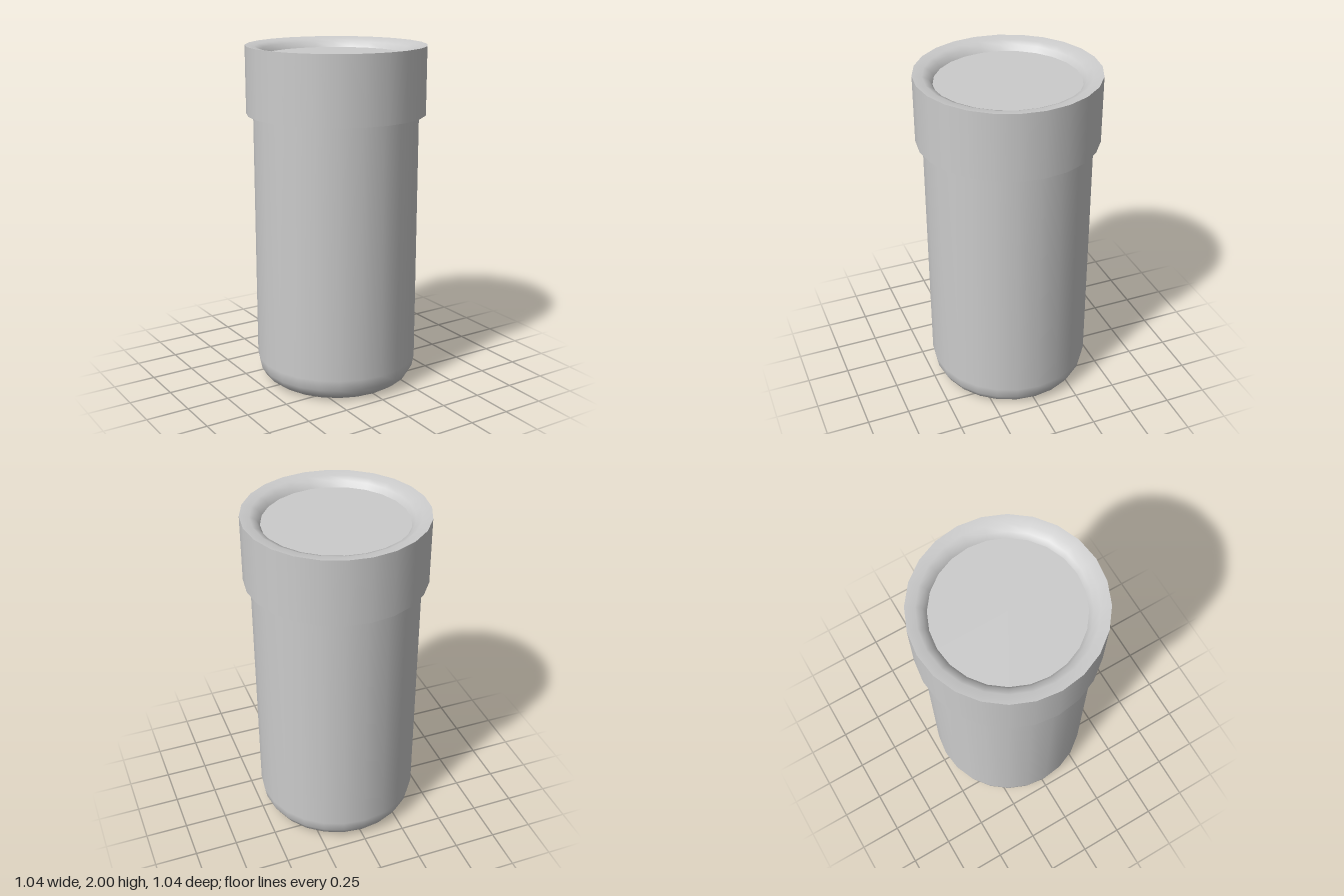
import * as THREE from 'three';

const SIDES = 24;
const material = new THREE.MeshStandardMaterial({ color: 0xcccccc });

// Turned surface; the profile runs from the underside outward, up and back in
function turned(name, profile) {
  const points = profile.map(([r, y]) => new THREE.Vector2(r, y));
  const mesh = new THREE.Mesh(new THREE.LatheGeometry(points, SIDES), material);
  mesh.name = name;
  return mesh;
}

function part(name, ...meshes) {
  const group = new THREE.Group();
  group.name = name;
  group.add(...meshes);
  return group;
}

export function createModel() {
  const model = new THREE.Group();
  model.name = 'liddedContainer';

  // Body: recessed base, rounded foot and straight wall
  model.add(part('body',
    turned('baseRecess', [[0, 0.145], [0.29, 0.145]]),
    turned('bodyWall', [
      [0.29, 0.145], [0.345, 0.045], [0.4, 0],
      [0.442, 0.03], [0.468, 0.075], [0.48, 0.14], [0.48, 1.61],
    ]),
  ));

  // Lid: sharp outer edges, a lip rolling down to a sunken flat top
  model.add(part('lid',
    turned('lidUnderside', [[0.47, 1.61], [0.52, 1.61]]),
    turned('lidSide', [[0.52, 1.61], [0.52, 2]]),
    turned('lidLip', [[0.52, 2], [0.465, 1.992], [0.43, 1.976], [0.41, 1.944]]),
    turned('lidTop', [[0.41, 1.944], [0, 1.944]]),
  ));

  return model;
}
